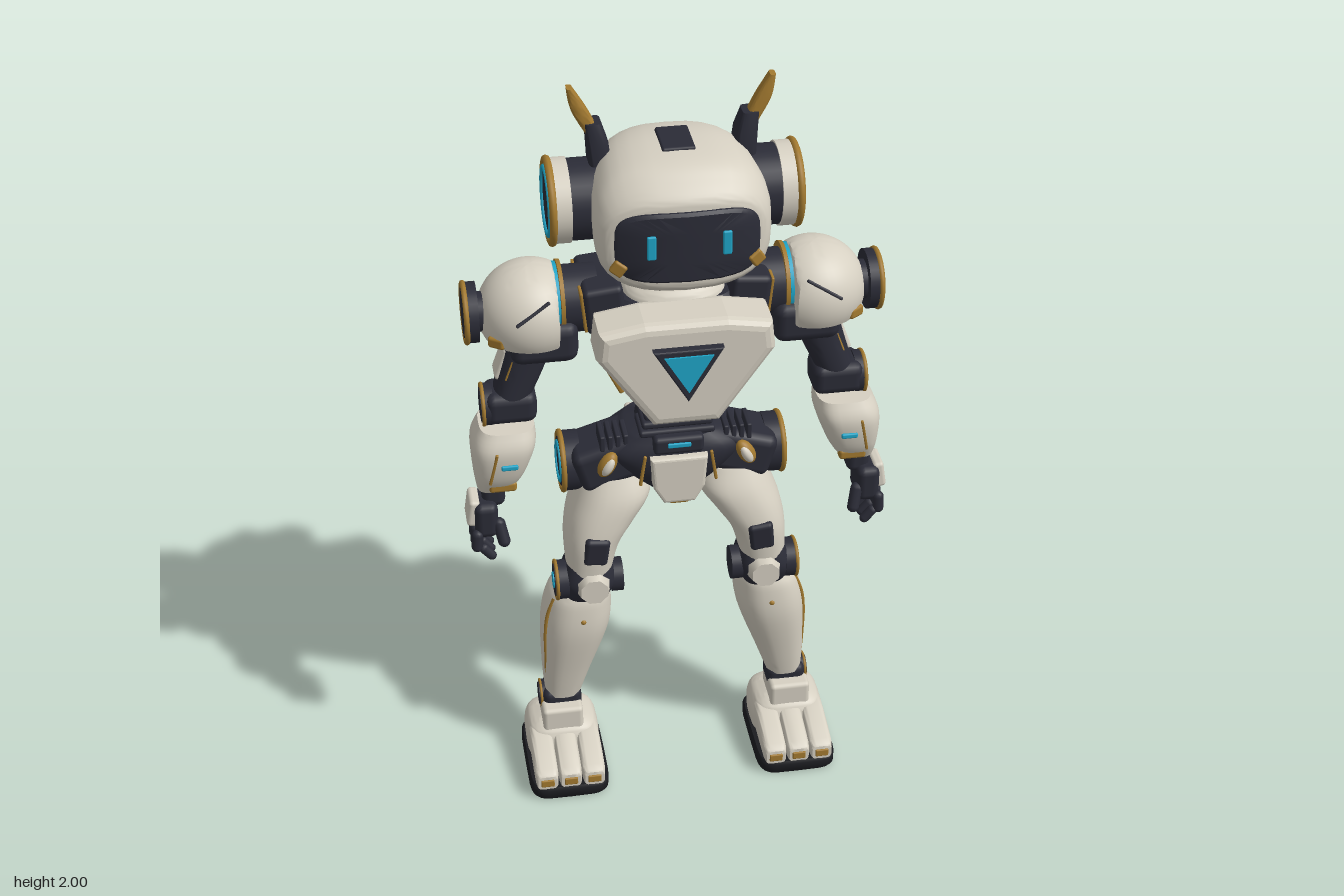
import * as THREE from 'three';
import { toCreasedNormals } from 'three/addons/utils/BufferGeometryUtils.js';
import { RoundedBoxGeometry } from 'three/addons/geometries/RoundedBoxGeometry.js';

const paint = (name, color) => {
  const m = new THREE.MeshStandardMaterial({ color });
  m.name = name;
  return m;
};
const white = paint('ivory shell', 0xd6d0c2);
const dark = paint('charcoal frame', 0x2b2c37);
const gold = paint('brass trim', 0xa37a30);
const cyan = paint('cyan glow', 0x1fa6c9);
const black = paint('black rubber', 0x1b1c20);

// Stacked superellipse sections [t, centreA, centreB, radiusA, radiusB] along y or z
function loft(secs, { axis = 'y', p = 2.5, sub = 5, bend = 0 } = {}) {
  const N = 32, rows = [], pos = [], idx = [];
  const cr = (a, b, c, d, t) => 0.5 * (2 * b + (c - a) * t + (2 * a - 5 * b + 4 * c - d) * t * t + (3 * b - a - 3 * c + d) * t * t * t);
  for (let i = 0; i < secs.length - 1; i++) {
    const q = [secs[Math.max(i - 1, 0)], secs[i], secs[i + 1], secs[Math.min(i + 2, secs.length - 1)]];
    for (let k = 0; k < sub; k++) rows.push(secs[i].map((_, c) => cr(q[0][c], q[1][c], q[2][c], q[3][c], k / sub)));
  }
  rows.push(secs[secs.length - 1]);
  const put = (a, b, t) => (axis === 'y' ? pos.push(a, t, b) : pos.push(a, b, t - bend * a * a * Math.max(t, 0) / 0.2));
  const pw = v => Math.sign(v) * Math.abs(v) ** (2 / p);
  const dir = axis === 'y' ? -1 : 1;
  for (const [t, a, b, ra, rb] of rows)
    for (let j = 0; j < N; j++) {
      const w = j / N * Math.PI * 2;
      put(a + ra * pw(Math.cos(w)), b + dir * rb * pw(Math.sin(w)), t);
    }
  const M = rows.length, first = rows[0], last = rows[M - 1];
  put(first[1], first[2], first[0]);
  put(last[1], last[2], last[0]);
  for (let j = 0; j < N; j++) {
    const k = (j + 1) % N, e = (M - 1) * N;
    for (let i = 0; i < M - 1; i++) {
      const a = i * N + j, b = i * N + k;
      idx.push(a, b, a + N, b, b + N, a + N);
    }
    idx.push(M * N, k, j, M * N + 1, e + j, e + k);
  }
  const g = new THREE.BufferGeometry();
  g.setAttribute('position', new THREE.Float32BufferAttribute(pos, 3));
  g.setIndex(idx);
  return toCreasedNormals(g, 0.7);
}

function add(parent, name, geo, mat, pos = [0, 0, 0], rot = [0, 0, 0]) {
  const m = new THREE.Mesh(geo, mat);
  m.name = name;
  m.position.set(...pos);
  m.rotation.set(...rot);
  parent.add(m);
  return m;
}
const box = (w, h, d, r = 0.012) => new RoundedBoxGeometry(w, h, d, 2, Math.min(r, w / 2.1, h / 2.1, d / 2.1));
const drum = (r, w) => new THREE.CylinderGeometry(r, r, w, 32).rotateZ(Math.PI / 2);
const hoop = (r, t) => new THREE.TorusGeometry(r, t, 8, 36).rotateY(Math.PI / 2);
const plate = (pts, depth, bevel) => new THREE.ExtrudeGeometry(new THREE.Shape(pts.map(q => new THREE.Vector2(...q))),
  { depth, bevelEnabled: bevel > 0, bevelSize: bevel, bevelThickness: bevel, bevelSegments: 3 });
const shift = (secs, s) => secs.map(([t, a, ...r]) => [t, s * a, ...r]);

// Round joint cover facing sideways: drum, trim ring and optional glowing ring
function hub(g, s, name, x, y, z, r, w, glow = 0, body = dark) {
  const out = s * (x + w / 2);
  add(g, name, drum(r * 0.95, w), body, [s * x, y, z]);
  add(g, name + 'Trim', hoop(r * 0.92, r * 0.09), gold, [out, y, z]);
  add(g, name + 'Face', drum(r * 0.78, 0.012), dark, [out, y, z]);
  if (glow) add(g, name + 'Glow', hoop(glow, r * 0.06), cyan, [out + s * 0.006, y, z]);
}

function buildHead(g) {
  add(g, 'headShell', loft([[-0.205, 0, 1.7, 0.03, 0.04], [-0.185, 0, 1.705, 0.09, 0.085], [-0.15, 0, 1.71, 0.14, 0.125],
    [-0.09, 0, 1.712, 0.185, 0.148], [0, 0, 1.713, 0.203, 0.161], [0.12, 0, 1.71, 0.212, 0.158], [0.175, 0, 1.697, 0.21, 0.142],
    [0.208, 0, 1.692, 0.195, 0.116], [0.214, 0, 1.692, 0.17, 0.09]], { axis: 'z', p: 2.9, bend: 0.8 }), white);
  add(g, 'visor', loft([[0.17, 0, 1.692, 0.17, 0.09], [0.22, 0, 1.692, 0.174, 0.092], [0.227, 0, 1.692, 0.166, 0.085],
    [0.228, 0, 1.692, 0.08, 0.04]], { axis: 'z', p: 4, sub: 1, bend: 0.8 }), dark);
  add(g, 'crownPlate', box(0.08, 0.014, 0.12, 0.006), dark, [0, 1.872, 0.015]);
  add(g, 'rearLight', box(0.034, 0.014, 0.01, 0.004), cyan, [0, 1.71, -0.23]);
  add(g, 'rearBridge', box(0.1, 0.02, 0.03, 0.004), dark, [0, 1.71, -0.21]);
  add(g, 'neck', drum(0.085, 0.12).rotateZ(Math.PI / 2), dark, [0, 1.51, -0.035]);
  for (const [y, m] of [[1.485, dark], [1.51, gold], [1.535, dark]])
    add(g, 'neckRing', new THREE.TorusGeometry(0.086, 0.008, 8, 36).rotateX(Math.PI / 2), m, [0, y, -0.035]);
  for (const s of [1, -1]) {
    add(g, 'eye', box(0.022, 0.062, 0.009, 0.004), cyan, [s * 0.09, 1.7, 0.223]);
    add(g, 'cheekTrim', box(0.035, 0.035, 0.02, 0.006), gold, [s * 0.165, 1.64, 0.198], [0, s * 0.3, s * 0.6]);
    add(g, 'earMount', drum(0.1, 0.08), dark, [s * 0.22, 1.71, -0.03]);
    hub(g, s, 'earCup', 0.277, 1.71, -0.03, 0.11, 0.045, 0.083, white);
    // Horn on its socket
    add(g, 'hornSocket', loft(shift([[1.8, 0.175, -0.04, 0.028, 0.04], [1.86, 0.18, -0.04, 0.026, 0.038], [1.91, 0.19, -0.04, 0.02, 0.026]], s), { p: 5, sub: 1 }), dark);
    add(g, 'horn', loft(shift([[1.885, 0.192, -0.04, 0.018, 0.02], [1.945, 0.222, -0.04, 0.019, 0.019], [2, 0.243, -0.04, 0.007, 0.015]], s), { p: 4 }), gold);
    // Rear vents
    add(g, 'rearVent', box(0.06, 0.075, 0.04, 0.006), dark, [s * 0.07, 1.71, -0.195]);
    for (let i = 0; i < 4; i++) add(g, 'ventSlat', box(0.064, 0.011, 0.02, 0.004), dark, [s * 0.07, 1.682 + i * 0.019, -0.218]);
  }
}

function buildTorso(g) {
  add(g, 'torsoCore', loft([[1.16, 0, -0.055, 0.09, 0.09], [1.28, 0, -0.045, 0.16, 0.115], [1.4, 0, -0.035, 0.2, 0.135], [1.46, 0, -0.035, 0.15, 0.11]], { p: 3 }), dark);
  add(g, 'collar', loft([[1.44, 0, -0.03, 0.135, 0.12], [1.47, 0, -0.03, 0.125, 0.115], [1.488, 0, -0.03, 0.105, 0.1]]), white);
  add(g, 'chestPlate', plate([[-0.195, 1.385], [-0.19, 1.43], [-0.1, 1.445], [0.1, 1.445], [0.19, 1.43], [0.195, 1.385], [0.07, 1.205], [-0.07, 1.205]], 0.09, 0.025), white, [0, 0, 0.085]);
  const tri = k => [[-0.08 * k, 1.36 + 0.045 * k], [0.08 * k, 1.36 + 0.045 * k], [0, 1.36 - 0.09 * k]];
  add(g, 'chestBezel', plate(tri(1), 0.018, 0.006), dark, [0, 0, 0.198]);
  add(g, 'chestLight', plate(tri(0.76), 0.008, 0), cyan, [0, 0, 0.219]);
  add(g, 'waist', loft([[1.02, 0, -0.055, 0.1, 0.095], [1.1, 0, -0.055, 0.085, 0.085], [1.2, 0, -0.055, 0.1, 0.095]]), dark);
  for (let i = 0; i < 6; i++) add(g, 'waistRib', box(0.165 + 0.012 * Math.abs(i - 2.5), 0.02, 0.1, 0.008), dark, [0, 1.065 + i * 0.026, 0.01]);
  for (let i = 0; i < 5; i++) add(g, 'spineSegment', box(0.045, 0.03, 0.05, 0.01), dark, [0, 1.27 + i * 0.037, -0.185]);
  add(g, 'pelvis', loft([[0.86, 0, -0.03, 0.05, 0.06], [0.93, 0, -0.035, 0.13, 0.1], [1, 0, -0.035, 0.185, 0.11], [1.05, 0, -0.04, 0.12, 0.1]], { p: 3 }), dark);
  add(g, 'beltBuckle', box(0.13, 0.05, 0.05), dark, [0, 1.04, 0.06]);
  add(g, 'beltLight', box(0.06, 0.013, 0.008, 0.003), cyan, [0, 1.045, 0.086]);
  add(g, 'groinPlate', plate([[-0.065, 1], [0.065, 1], [0.058, 0.92], [0.035, 0.88], [-0.035, 0.88], [-0.058, 0.92]], 0.03, 0.009), white, [0, 0, 0.055]);
  add(g, 'groinTrim', box(0.05, 0.014, 0.035, 0.005), gold, [0, 0.872, 0.07]);
  for (const s of [1, -1]) {
    add(g, 'backPlate', plate([[0.035, 1.4], [0.06, 1.435], [0.165, 1.435], [0.18, 1.37], [0.105, 1.21], [0.06, 1.25]].map(([x, y]) => [s * x, y]), 0.02, 0.01), white, [0, 0, -0.187]);
    add(g, 'flankTrim', box(0.014, 0.12, 0.02, 0.005), gold, [s * 0.165, 1.25, 0.045], [0, 0, -s * 0.45]);
    add(g, 'shoulderStrap', box(0.1, 0.125, 0.2, 0.015), dark, [s * 0.18, 1.445, -0.03], [0, 0, -s * 0.1]);
    add(g, 'strapTrim', box(0.008, 0.11, 0.18, 0.003), gold, [s * 0.232, 1.44, -0.03], [0, 0, -s * 0.1]);
    add(g, 'hipBlock', box(0.17, 0.12, 0.15, 0.025), dark, [s * 0.175, 0.965, -0.03], [0, 0, -s * 0.3]);
    add(g, 'hipPodTrim', new THREE.SphereGeometry(1, 20, 12).scale(0.022, 0.038, 0.022), gold, [s * 0.18, 0.98, 0.048], [0, 0, s * 0.5]);
    add(g, 'hipPod', new THREE.SphereGeometry(1, 20, 12).scale(0.015, 0.03, 0.02), white, [s * 0.18, 0.98, 0.055], [0, 0, s * 0.5]);
    add(g, 'groinStripe', box(0.008, 0.09, 0.012, 0.003), gold, [s * 0.092, 0.965, 0.07], [0, 0, s * 0.15]);
    for (let i = 0; i < 4; i++) add(g, 'beltFin', box(0.013, 0.045, 0.08, 0.004), dark, [s * (0.13 + i * 0.02), 1.035, 0]);
    add(g, 'rearPouch', box(0.1, 0.085, 0.05, 0.012), white, [s * 0.058, 0.99, -0.135]);
  }
}

function buildArm(g, s) {
  add(g, 'shoulderAxle', drum(0.085, 0.12), dark, [s * 0.25, 1.43, -0.04]);
  add(g, 'shoulderGlow', drum(0.09, 0.012), cyan, [s * 0.292, 1.435, -0.042]);
  add(g, 'shoulderRing', drum(0.094, 0.01), gold, [s * 0.28, 1.435, -0.042]);
  // Dome flattened on its inner side and underside
  const dome = new THREE.SphereGeometry(1, 40, 28).scale(0.133, 0.128, 0.135), q = dome.attributes.position;
  for (let i = 0; i < q.count; i++) {
    q.setX(i, s * Math.max(s * q.getX(i), -0.06));
    q.setY(i, Math.max(q.getY(i), -0.055));
  }
  add(g, 'shoulderDome', toCreasedNormals(dome, 0.6), white, [s * 0.355, 1.417, -0.025]);
  add(g, 'domeSlot', box(0.1, 0.008, 0.012, 0.003), dark, [s * 0.36, 1.47, 0.094], [-0.4, 0, -s * 0.56]);
  add(g, 'domeTrim', box(0.045, 0.03, 0.03, 0.008), gold, [s * 0.445, 1.38, 0.055], [0, s * 0.6, 0]);
  add(g, 'shoulderSocket', box(0.17, 0.11, 0.18, 0.03), dark, [s * 0.33, 1.355, -0.025]);
  add(g, 'shoulderPin', drum(0.05, 0.06), dark, [s * 0.47, 1.425, -0.02]);
  hub(g, s, 'shoulderDisc', 0.502, 1.425, -0.02, 0.08, 0.03);
  add(g, 'upperArm', loft(shift([[1.18, 0.42, 0, 0.048, 0.055], [1.27, 0.385, -0.01, 0.056, 0.062], [1.36, 0.355, -0.02, 0.062, 0.07]], s)), dark);
  add(g, 'upperArmPlate', box(0.035, 0.09, 0.07, 0.01), white, [s * 0.425, 1.28, -0.02], [0, 0, s * 0.35]);
  add(g, 'upperArmTrim', box(0.014, 0.06, 0.014, 0.004), gold, [s * 0.415, 1.28, 0.035], [0, 0, s * 0.35]);
  add(g, 'elbow', box(0.13, 0.085, 0.115, 0.025), dark, [s * 0.418, 1.172, 0]);
  hub(g, s, 'elbowDisc', 0.475, 1.165, 0, 0.058, 0.025);
  add(g, 'forearm', loft(shift([[0.945, 0.47, 0.025, 0.045, 0.05], [1, 0.457, 0.028, 0.065, 0.077], [1.08, 0.443, 0.025, 0.081, 0.092], [1.13, 0.432, 0.02, 0.07, 0.075]], s), { p: 3.2 }), white);
  add(g, 'forearmSeam', box(0.007, 0.1, 0.008, 0.002), gold, [s * 0.475, 1.04, 0.112], [0.15, 0, s * 0.2]);
  add(g, 'forearmLight', box(0.042, 0.014, 0.01, 0.004), cyan, [s * 0.435, 1.045, 0.116]);
  add(g, 'wristTrim', box(0.07, 0.028, 0.03, 0.008), gold, [s * 0.452, 0.968, 0.078]);
  add(g, 'wrist', box(0.06, 0.07, 0.075, 0.02), dark, [s * 0.475, 0.93, 0.035]);
  // Hand with curled fingers
  add(g, 'palm', box(0.06, 0.1, 0.105, 0.02), dark, [s * 0.498, 0.87, 0.05]);
  add(g, 'handPlate', box(0.028, 0.075, 0.08, 0.01), white, [s * 0.53, 0.888, 0.045], [0, 0, s * 0.15]);
  for (let i = 0; i < 4; i++) {
    const z = 0 + i * 0.032, drop = i === 0 ? 0.012 : 0;
    add(g, 'knuckle', new THREE.CapsuleGeometry(0.015, 0.035, 4, 10), dark, [s * 0.525, 0.815 + drop, z], [0, 0, s * 0.05]);
    add(g, 'fingertip', new THREE.CapsuleGeometry(0.013, 0.03, 4, 10), dark, [s * 0.5, 0.778 + drop, z], [0, 0, -s * 0.7]);
  }
  add(g, 'thumb', new THREE.CapsuleGeometry(0.016, 0.05, 4, 10), dark, [s * 0.462, 0.835, 0.095], [-0.3, 0, -s * 0.2]);
}

function buildLeg(g, s) {
  hub(g, s, 'hipDisc', 0.265, 0.935, -0.055, 0.083, 0.045, 0.052);
  add(g, 'thigh', loft(shift([[0.655, 0.232, 0.022, 0.06, 0.07], [0.735, 0.22, -0.002, 0.073, 0.098], [0.8, 0.193, -0.018, 0.09, 0.108], [0.865, 0.16, -0.035, 0.1, 0.11], [0.925, 0.155, -0.045, 0.08, 0.09]], s)), white);
  add(g, 'thighInset', box(0.065, 0.085, 0.03, 0.012), dark, [s * 0.218, 0.735, 0.085], [0.12, 0, s * 0.12]);
  // Knee
  add(g, 'knee', loft(shift([[0.55, 0.24, 0, 0.055, 0.06], [0.615, 0.235, 0.018, 0.074, 0.075], [0.675, 0.232, 0.02, 0.058, 0.066]], s), { p: 3 }), dark);
  add(g, 'kneeCap', new THREE.CylinderGeometry(0.038, 0.048, 0.035, 8).rotateY(Math.PI / 8).rotateX(Math.PI / 2), white, [s * 0.228, 0.622, 0.095]);
  add(g, 'kneeBack', box(0.07, 0.1, 0.05, 0.02), dark, [s * 0.235, 0.625, -0.045]);
  hub(g, s, 'kneeDisc', 0.305, 0.615, 0.03, 0.055, 0.03);
  add(g, 'kneeLight', drum(0.022, 0.012), cyan, [s * 0.323, 0.615, 0.03]);
  add(g, 'kneeInnerDisc', drum(0.045, 0.03), dark, [s * 0.16, 0.615, 0.03]);
  // Shin and ankle
  add(g, 'shin', loft(shift([[0.21, 0.308, -0.012, 0.048, 0.046], [0.3, 0.294, -0.024, 0.067, 0.074], [0.44, 0.268, -0.03, 0.091, 0.103], [0.53, 0.255, -0.027, 0.085, 0.097], [0.567, 0.246, -0.02, 0.07, 0.08]], s)), white);
  add(g, 'shinSeam', new THREE.TubeGeometry(new THREE.CatmullRomCurve3([[0.325, 0.545, 0.02], [0.345, 0.49, 0.022], [0.352, 0.43, 0.022], [0.352, 0.34, 0.016], [0.352, 0.25, 0]].map(([x, y, z]) => new THREE.Vector3(s * x, y, z))), 24, 0.006, 6), gold);
  add(g, 'shinStud', new THREE.SphereGeometry(0.008, 10, 8), gold, [s * 0.255, 0.495, 0.07]);
  add(g, 'ankle', box(0.105, 0.07, 0.09, 0.02), dark, [s * 0.312, 0.192, -0.015]);
  hub(g, s, 'ankleDisc', 0.358, 0.19, -0.022, 0.04, 0.02);
  add(g, 'ankleCollar', box(0.11, 0.075, 0.12, 0.012), white, [s * 0.316, 0.155, 0.005]);
  // Foot
  add(g, 'sole', loft(shift([[0, 0.315, 0.048, 0.104, 0.152], [0.008, 0.315, 0.048, 0.109, 0.157], [0.03, 0.315, 0.048, 0.109, 0.157], [0.038, 0.315, 0.048, 0.104, 0.152]], s), { p: 6, sub: 1 }), black);
  add(g, 'heel', loft(shift([[0.034, 0.315, -0.01, 0.098, 0.094], [0.085, 0.315, -0.01, 0.1, 0.095], [0.12, 0.315, -0.01, 0.09, 0.085], [0.138, 0.315, -0.008, 0.066, 0.062]], s), { p: 3.5 }), white);
  for (const x of [0.251, 0.315, 0.379]) {
    add(g, 'toe', loft([[0.03, s * x, 0.078, 0.031, 0.044], [0.08, s * x, 0.076, 0.031, 0.042], [0.18, s * x, 0.062, 0.031, 0.028], [0.2, s * x, 0.057, 0.026, 0.021]], { axis: 'z', p: 5, sub: 2 }), white);
    add(g, 'toeTip', box(0.036, 0.022, 0.009, 0.003), gold, [s * x, 0.057, 0.2]);
  }
}

export function createModel() {
  const model = new THREE.Group();
  model.name = 'robot';
  const section = (name, build, s) => {
    const g = new THREE.Group();
    g.name = name;
    build(g, s);
    model.add(g);
  };
  section('head', buildHead);
  section('torso', buildTorso);
  for (const [side, s] of [['left', 1], ['right', -1]]) {
    section(side + 'Arm', buildArm, s);
    section(side + 'Leg', buildLeg, s);
  }
  return model;
}
